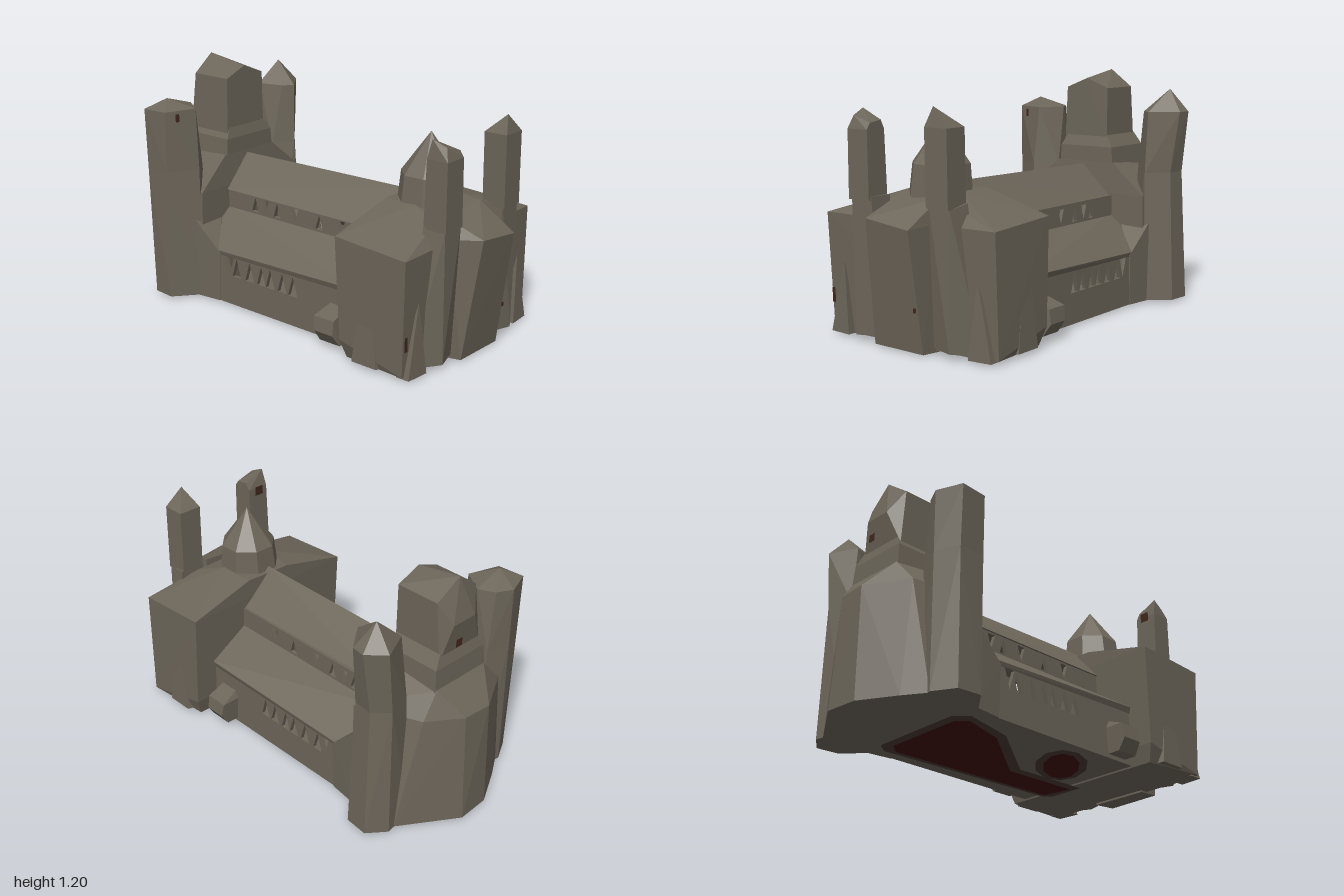
import * as THREE from 'three';
import { ConvexGeometry } from 'three/addons/geometries/ConvexGeometry.js';

export function createModel() {
  const model = new THREE.Group();
  const mat = (name, color) => {
    const m = new THREE.MeshStandardMaterial({ color });
    m.name = name;
    return m;
  };
  const stone = mat('stone', 0x6c6559);
  const red = mat('darkRed', 0x400a0b);
  const rim = mat('rimBrown', 0x4a3830);
  const rust = mat('rustBrown', 0x40261a);

  const add = (name, geo, material = stone) => {
    const mesh = new THREE.Mesh(geo, material);
    mesh.name = name;
    model.add(mesh);
    return mesh;
  };
  // Faceted solid around a handful of corner points
  const hull = (name, pts) =>
    add(name, new ConvexGeometry(pts.map((p) => new THREE.Vector3(...p))));
  const level = (outline, y) => outline.map(([x, z]) => [x, y, z]);
  const rect = (x0, x1, z0, z1, y) => level([[x0, z0], [x1, z0], [x1, z1], [x0, z1]], y);
  const ring = (cx, cz, r, y, n, turn) =>
    Array.from({ length: n }, (_, i) => {
      const a = turn + (i / n) * Math.PI * 2;
      return [cx + r * Math.cos(a), y, cz + r * Math.sin(a)];
    });
  // Tower built from stacked rings, one solid per storey
  const stack = (name, rings) => {
    for (let i = 0; i < rings.length - 1; i++) hull(name + (i + 1), [...rings[i], ...rings[i + 1]]);
  };
  // Long side wall with triangular window openings
  const wall = (name, x, y0, y1, windows, wy0, wy1, half) => {
    const s = new THREE.Shape([
      new THREE.Vector2(-0.56, y0), new THREE.Vector2(0.48, y0),
      new THREE.Vector2(0.48, y1), new THREE.Vector2(-0.56, y1),
    ]);
    for (const [z, up] of windows) {
      const base = up ? wy0 : wy1, tip = up ? wy1 : wy0;
      s.holes.push(new THREE.Path([
        new THREE.Vector2(z - half, base), new THREE.Vector2(z, tip), new THREE.Vector2(z + half, base),
      ]));
    }
    const g = new THREE.ExtrudeGeometry(s, { depth: 0.02, bevelEnabled: false });
    g.rotateY(-Math.PI / 2).translate(x > 0 ? x : x + 0.02, 0, 0);
    add(name, g);
  };

  // Nave: floor, aisles, clerestory and ridge roof
  hull('naveFloor', [...rect(-0.36, 0.35, -0.56, 0.48, 0.01), ...rect(-0.36, 0.35, -0.56, 0.48, 0.04)]);
  const low = [[0.08, 1], [0.01, 1], [-0.07, 1], [-0.13, 1], [-0.21, 1], [-0.3, 1], [-0.35, 0]];
  const high = [[0.22, 0], [0.08, 1], [-0.08, 0], [-0.2, 1], [-0.28, 0], [-0.35, 1]];
  for (const s of [-1, 1]) {
    const side = s < 0 ? 'right' : 'left';
    wall(side + 'AisleWall', s * 0.365, 0.01, 0.29, low, 0.165, 0.265, 0.03);
    wall(side + 'Clerestory', s * 0.17, 0.42, 0.55, high, 0.455, 0.53, 0.024);
    hull(side + 'AisleRoof', [
      [s * 0.16, 0.45, 0.48], [s * 0.16, 0.43, 0.48], [s * 0.38, 0.31, 0.48], [s * 0.37, 0.28, 0.48],
      [s * 0.16, 0.45, -0.56], [s * 0.16, 0.43, -0.56], [s * 0.37, 0.28, -0.56], [s * 0.365, 0.26, -0.56],
    ]);
    // Sloping buttress where the aisle meets the rear towers
    hull(side + 'AisleButtress', [
      [s * 0.2, 0.01, -0.4], [s * 0.37, 0.01, -0.42], [s * 0.37, 0.27, -0.41],
      [s * 0.2, 0.01, -0.58], [s * 0.39, 0.01, -0.58], [s * 0.385, 0.42, -0.57], [s * 0.2, 0.43, -0.57],
    ]);
    // Small side porch
    hull(side + 'Porch', [
      ...rect(s * 0.34, s * 0.43, 0.31, 0.43, 0.03), [s * 0.47, 0.09, 0.31], [s * 0.47, 0.09, 0.42],
      ...rect(s * 0.34, s * 0.46, 0.3, 0.42, 0.16), [s * 0.36, 0.2, 0.32], [s * 0.36, 0.2, 0.42],
    ]);
  }
  hull('naveRoof', [
    [-0.18, 0.54, 0.48], [0.17, 0.54, 0.48], [-0.02, 0.72, 0.48],
    [-0.18, 0.54, -0.57], [0.16, 0.54, -0.57], [-0.02, 0.705, -0.57],
  ]);

  // Front block with hipped top
  hull('frontBlock', [
    ...rect(-0.46, 0.46, 0.5, 0.84, 0.01), [-0.49, 0.02, 0.84], [0.5, 0.02, 0.84],
    [-0.49, 0.1, 0.48], [0.49, 0.1, 0.48],
    [-0.505, 0.575, 0.86], [0.49, 0.58, 0.85], [-0.5, 0.6, 0.46], [0.485, 0.6, 0.46],
    [-0.13, 0.69, 0.46], [0.13, 0.7, 0.46], [-0.15, 0.7, 0.64], [0.14, 0.7, 0.66],
    [-0.2, 0.66, 0.79], [0.2, 0.66, 0.79],
  ]);
  // Portal leaning outward towards its top
  hull('portal', [
    [-0.16, 0, 0.8], [0.15, 0, 0.8], [-0.15, 0.01, 0.92], [0.14, 0.005, 0.92],
    [-0.12, 0.6, 1], [0.13, 0.57, 1], [-0.17, 0.58, 0.84], [0.15, 0.58, 0.84],
    [-0.13, 0.67, 0.8], [0.14, 0.69, 0.8],
  ]);
  // Buttresses on the facade and the block's sides
  for (const s of [-1, 1]) {
    const side = s < 0 ? 'right' : 'left';
    hull(side + 'FacadeButtress', [
      [s * 0.28, 0.03, 0.91], [s * 0.16, 0.03, 0.87], [s * 0.38, 0.01, 0.8], [s * 0.16, 0.01, 0.8],
      [s * 0.29, 0.66, 0.91], [s * 0.17, 0.68, 0.91], [s * 0.3, 0.68, 0.8], [s * 0.16, 0.68, 0.8],
    ]);
    hull(side + 'CornerButtress', [
      [s * 0.48, 0.01, 0.87], [s * 0.36, 0.01, 0.88], [s * 0.4, 0.36, 0.86], [s * 0.48, 0.01, 0.8], [s * 0.36, 0.01, 0.8],
    ]);
    hull(side + 'TranseptButtress', [
      [s * 0.4, 0.01, 0.54], [s * 0.4, 0.01, 0.72], [s * 0.5, 0.02, 0.56], [s * 0.5, 0.02, 0.7],
      [s * 0.49, 0.33, 0.6], [s * 0.49, 0.33, 0.66],
    ]);
  }
  hull('rightSpire', [
    ...rect(-0.3, -0.175, 0.8, 0.92, 0.66), ...rect(-0.3, -0.18, 0.81, 0.92, 0.98),
    [-0.29, 1.07, 0.83], [-0.18, 1.02, 0.83], [-0.18, 1.01, 0.9], [-0.28, 1.04, 0.9],
  ]);
  hull('leftSpire', [
    ...rect(0.165, 0.29, 0.8, 0.92, 0.66), ...rect(0.16, 0.285, 0.8, 0.92, 1.01), [0.195, 1.1, 0.9],
  ]);

  // Crossing dome with pointed cap
  stack('dome', [
    ring(-0.01, 0.62, 0.155, 0.66, 8, 0.39),
    ring(-0.005, 0.62, 0.14, 0.82, 8, 0.39),
    [[-0.005, 1.015, 0.62]],
  ]);

  // Rear body and apse
  hull('apse', [
    ...rect(-0.37, 0.37, -0.54, -0.82, 0.01), [-0.26, 0.01, -0.89], [0.22, 0.01, -0.9],
    [-0.08, 0.01, -0.99], [0.09, 0.01, -1],
    [-0.36, 0.56, -0.54], [0.36, 0.56, -0.54], [-0.28, 0.57, -0.86], [0.24, 0.57, -0.86],
    [-0.07, 0.57, -0.98], [0.08, 0.57, -0.97], [-0.16, 0.7, -0.86], [0.16, 0.7, -0.86],
    [-0.18, 0.72, -0.55], [0.17, 0.72, -0.55],
  ]);
  // Central tower with a slanting gable cap
  hull('centralTowerBase', [
    ...rect(-0.17, 0.17, -0.55, -0.86, 0.66), ...rect(-0.16, 0.16, -0.55, -0.85, 0.8),
    ...rect(-0.12, 0.115, -0.57, -0.83, 0.87),
  ]);
  hull('centralTower', [
    ...rect(-0.145, 0.12, -0.565, -0.83, 0.82), ...rect(-0.135, 0.12, -0.57, -0.8, 1.11),
    [-0.01, 1.16, -0.57], [-0.01, 1.2, -0.81], [-0.07, 1.0, -0.86], [0.07, 1.0, -0.86],
  ]);

  // Rear side towers, irregular six-sided shafts with pointed caps
  stack('rightRearTower', [
    level([[-0.49, -0.77], [-0.5, -0.65], [-0.37, -0.545], [-0.25, -0.6], [-0.25, -0.8], [-0.38, -0.83]], 0.01),
    level([[-0.5, -0.78], [-0.5, -0.645], [-0.355, -0.56], [-0.25, -0.65], [-0.27, -0.79], [-0.38, -0.83]], 0.68),
    level([[-0.51, -0.78], [-0.5, -0.64], [-0.34, -0.59], [-0.26, -0.71], [-0.3, -0.79], [-0.38, -0.83]], 0.99),
    [[-0.42, 1.04, -0.71], [-0.36, 1.02, -0.7]],
  ]);
  stack('leftRearTower', [
    level([[0.5, -0.76], [0.49, -0.64], [0.38, -0.545], [0.25, -0.6], [0.25, -0.8], [0.41, -0.83]], 0.01),
    level([[0.47, -0.75], [0.46, -0.65], [0.36, -0.56], [0.27, -0.64], [0.27, -0.78], [0.4, -0.82]], 0.68),
    level([[0.51, -0.74], [0.5, -0.67], [0.37, -0.57], [0.32, -0.61], [0.285, -0.75], [0.43, -0.82]], 0.995),
    [[0.41, 1.11, -0.72], [0.36, 1.05, -0.69]],
  ]);

  // Small rusty patches on the masonry
  const fleck = (name, x, y, z, w, h, turn) =>
    add(name, new THREE.PlaneGeometry(w, h).rotateY(turn).translate(x, y, z), rust);
  fleck('cornerFleck', -0.48, 0.18, 0.853, 0.02, 0.07, 0);
  fleck('portalFleck', 0.127, 0.21, 0.958, 0.018, 0.022, 0);
  fleck('spireFleck', -0.24, 0.97, 0.798, 0.05, 0.05, Math.PI);
  fleck('rearTowerFleck', -0.44, 0.95, -0.615, 0.02, 0.05, -0.3);
  fleck('centralTowerFleck', 0.03, 0.9, -0.862, 0.04, 0.04, Math.PI);

  // Dark patches on the underside
  const patch = (name, pts, y, material) => {
    const g = new THREE.ShapeGeometry(new THREE.Shape(pts.map((p) => new THREE.Vector2(...p))));
    add(name, g.rotateX(Math.PI / 2).translate(0, y, 0), material);
  };
  patch('undersideRim', [[0.3, -0.52], [0.26, 0.5], [0.22, 0.54], [0.03, 0.54], [0.04, 0.12],
    [-0.24, -0.25], [-0.31, -0.53], [-0.25, -0.59], [0.25, -0.58]], 0.005, rim);
  patch('undersideHollow', [[0.26, -0.48], [0.23, 0.48], [0.07, 0.51], [0.08, 0.09],
    [-0.2, -0.27], [-0.27, -0.5], [-0.22, -0.55], [0.21, -0.54]], 0, red);
  // Slim oval lying diagonally
  const oval = (long, wide) => Array.from({ length: 10 }, (_, i) => {
    const a = (i / 10) * Math.PI * 2, u = long * Math.cos(a), v = wide * Math.sin(a);
    return [-0.14 + (u - v) * 0.707, 0.22 + (u + v) * 0.707];
  });
  patch('smallRim', oval(0.22, 0.13), 0.004, rim);
  patch('smallHollow', oval(0.18, 0.09), 0, red);

  return model;
}
